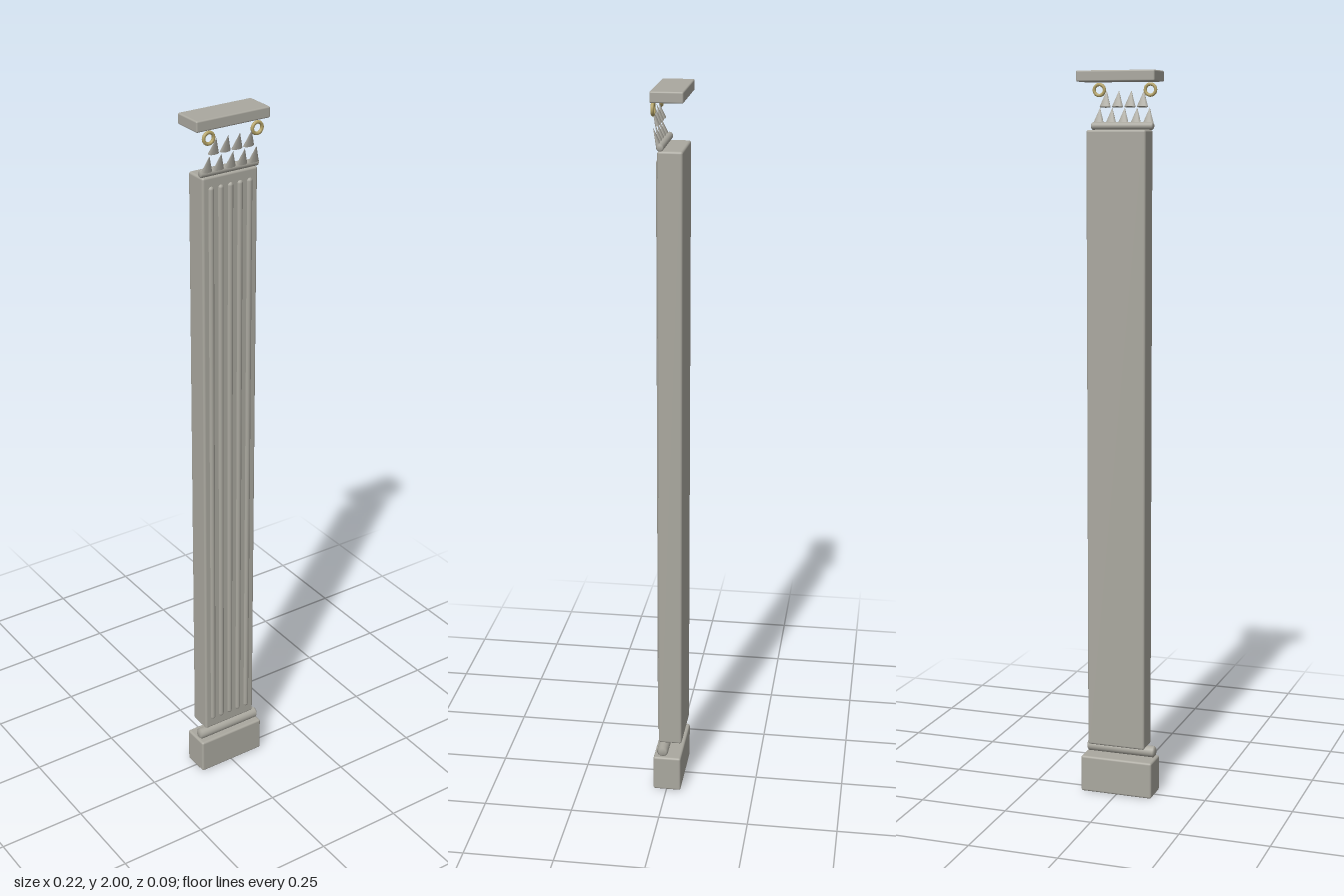
import * as THREE from 'three';
import { RoundedBoxGeometry } from 'three/addons/geometries/RoundedBoxGeometry.js';

export function createModel() {
  const group = new THREE.Group();
  const stone = new THREE.MeshStandardMaterial({ name: 'stone', color: 0xaaa89f });
  const gilt = new THREE.MeshStandardMaterial({ name: 'gilt', color: 0xb5a468 });

  function add(name, geometry, material, x, y, z) {
    const mesh = new THREE.Mesh(geometry, material);
    mesh.name = name;
    mesh.position.set(x, y, z);
    group.add(mesh);
    return mesh;
  }
  // Rounded block given by its extents, symmetric in x
  function block(name, halfX, y0, y1, z0, z1, r) {
    add(name, new RoundedBoxGeometry(halfX * 2, y1 - y0, z1 - z0, 3, r),
      stone, 0, (y0 + y1) / 2, (z0 + z1) / 2);
  }
  // Horizontal round moulding with softened ends
  function moulding(name, halfX, r, y, z) {
    const e = r * 0.3;
    const profile = [[0, -halfX], [r - e, -halfX], [r, -halfX + e], [r, halfX - e], [r - e, halfX], [0, halfX]]
      .map(([a, b]) => new THREE.Vector2(a, b));
    add(name, new THREE.LatheGeometry(profile, 20), stone, 0, y, z).rotation.z = Math.PI / 2;
  }

  // Base
  block('plinth', 0.104, 0, 0.104, -0.041, 0.038, 0.006);
  moulding('baseMoulding', 0.1, 0.016, 0.121, 0.012);

  // Shaft with five raised reeds
  block('shaft', 0.083, 0.141, 1.846, -0.041, 0.025, 0.006);
  for (let i = -2; i <= 2; i++) {
    add('reed', new THREE.CapsuleGeometry(0.0085, 1.635, 4, 12), stone, i * 0.029, 0.995, 0.0225);
  }

  // Capital: neck moulding and two rows of pointed leaves leaning forward
  moulding('neckMoulding', 0.087, 0.01, 1.856, 0.017);
  function leafRow(count, y, z) {
    for (let i = 0; i < count; i++) {
      const leaf = add('leaf', new THREE.ConeGeometry(0.016, 0.046, 10), stone,
        (i - (count - 1) / 2) * 0.035, y, z);
      leaf.scale.z = 0.4;
      leaf.rotation.x = 0.3;
    }
  }
  leafRow(5, 1.883, 0.03);
  leafRow(4, 1.928, 0.034);

  // Volute rings below the abacus
  for (const side of [-1, 1]) {
    add('volute', new THREE.TorusGeometry(0.0145, 0.0045, 10, 28), gilt, side * 0.072, 1.951, 0.036);
  }

  block('abacus', 0.109, 1.971, 2, -0.046, 0.04, 0.004);
  return group;
}
